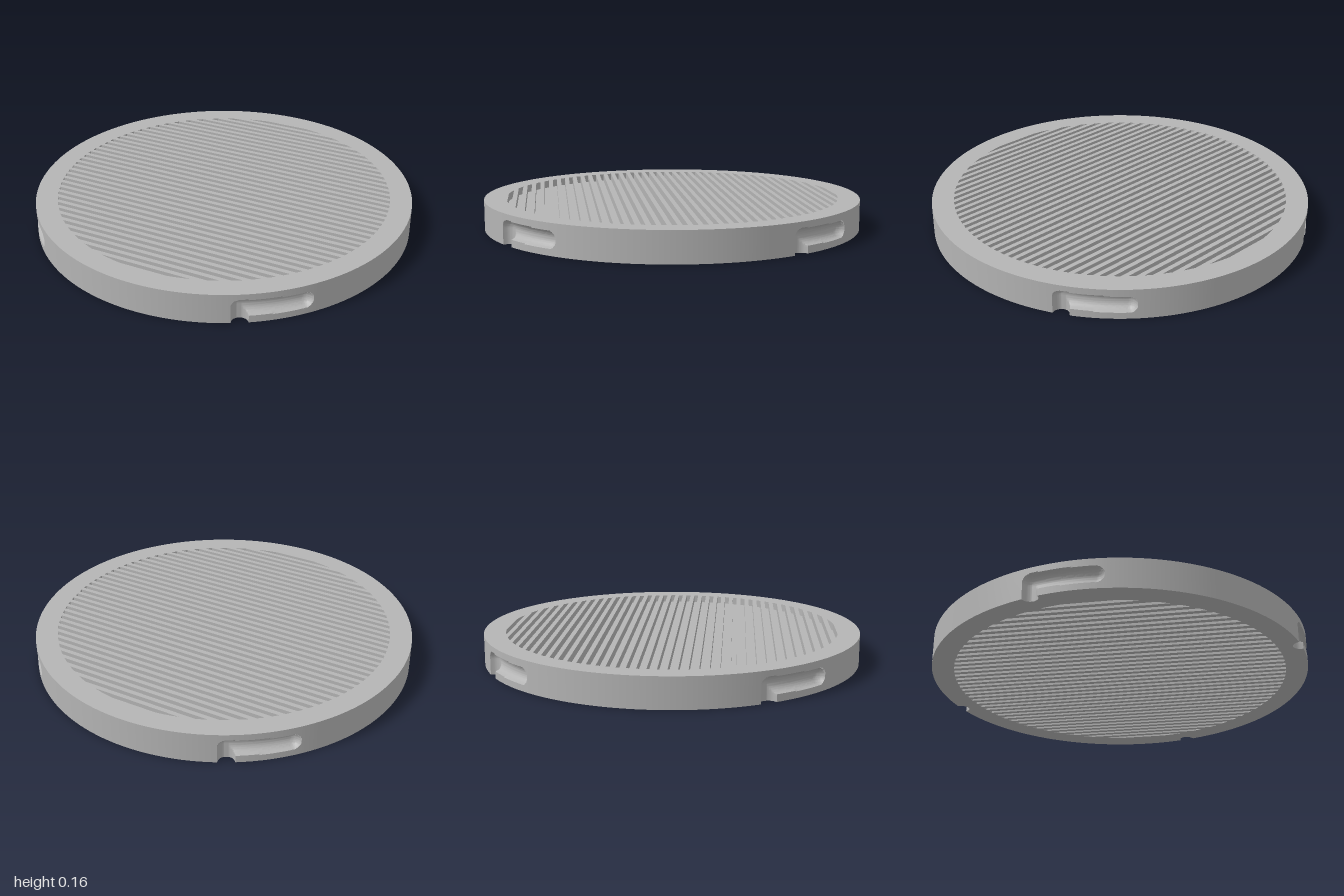
import * as THREE from 'three';
import { toCreasedNormals } from 'three/addons/utils/BufferGeometryUtils.js';

const HEIGHT = 0.157, INNER = 0.885;
const LAYER = 0.04;             // height of each slat layer
const PITCH = 0.048, SLAT = 0.024;

const grey = new THREE.MeshStandardMaterial({ color: 0xb4b4b4 });
grey.name = 'grey';

// Centre line of one L-shaped locking groove: entry from below, then along the rim
const groovePath = [[0, -0.06], [0, 0.083], [0.315, 0.075]];
const GROOVE_R = 0.042;

function grooveDepth(s, y) {
  let d = Infinity;
  for (let i = 0; i < groovePath.length - 1; i++) {
    const [ax, ay] = groovePath[i], [bx, by] = groovePath[i + 1];
    const dx = bx - ax, dy = by - ay;
    const t = THREE.MathUtils.clamp(((s - ax) * dx + (y - ay) * dy) / (dx * dx + dy * dy), 0, 1);
    d = Math.min(d, Math.hypot(s - ax - t * dx, y - ay - t * dy));
  }
  return d < GROOVE_R ? Math.sqrt(GROOVE_R * GROOVE_R - d * d) : 0;
}

// Closed ring section swept round the axis, with four grooves sunk in the outer wall
function rimGeometry() {
  const angles = [];
  for (let q = 0; q < 4; q++) {
    const start = q * Math.PI / 2 - 0.05;
    for (let i = 0; i < 105; i++) angles.push([start + i * 0.004, -0.05 + i * 0.004]);
    const rest = Math.PI / 2 - 0.42;
    for (let i = 0; i < 28; i++) angles.push([start + 0.42 + rest * i / 28, 1]);
  }
  const rows = 38, points = [], index = [];
  for (const [a, s] of angles) {
    const section = [[INNER, 0]];
    for (let j = 0; j <= rows; j++) {
      const y = HEIGHT * j / rows;
      section.push([1 - grooveDepth(s, y), y]);
    }
    section.push([INNER, HEIGHT]);
    for (const [r, y] of section) points.push(r * Math.sin(a), y, r * Math.cos(a));
  }
  const m = rows + 3, n = angles.length;
  for (let i = 0; i < n; i++) {
    for (let j = 0; j < m; j++) {
      const a = i * m + j, b = ((i + 1) % n) * m + j;
      const c = i * m + (j + 1) % m, d = ((i + 1) % n) * m + (j + 1) % m;
      index.push(a, b, d, a, d, c);
    }
  }
  const g = new THREE.BufferGeometry();
  g.setAttribute('position', new THREE.Float32BufferAttribute(points, 3));
  g.setIndex(index);
  return toCreasedNormals(g, 0.7);
}

// Parallel slats trimmed to the inside of the ring
function slatLayer(name, y, degrees) {
  const layer = new THREE.Group();
  layer.name = name;
  for (let k = -19; k < 19; k++) {
    const t = (k + 0.5) * PITCH;
    const edge = Math.abs(t) - SLAT / 2;
    const half = Math.sqrt(Math.max(INNER * INNER - edge * edge, 0)) + 0.005;
    const slat = new THREE.Mesh(new THREE.BoxGeometry(2 * half, LAYER, SLAT), grey);
    slat.name = 'slat';
    slat.position.z = t;
    layer.add(slat);
  }
  layer.position.y = y;
  layer.rotation.y = -THREE.MathUtils.degToRad(degrees);
  return layer;
}

export function createModel() {
  const model = new THREE.Group();
  model.name = 'slattedDisc';

  const rim = new THREE.Mesh(rimGeometry(), grey);
  rim.name = 'rim';
  model.add(rim);

  // Core closing the gaps between the two slat layers
  const core = new THREE.Mesh(new THREE.CylinderGeometry(INNER + 0.003, INNER + 0.003, HEIGHT - 2 * LAYER, 128), grey);
  core.name = 'core';
  core.position.y = HEIGHT / 2;
  model.add(core);

  model.add(slatLayer('topSlats', HEIGHT - LAYER / 2, 30));
  model.add(slatLayer('bottomSlats', LAYER / 2, 75));
  return model;
}
